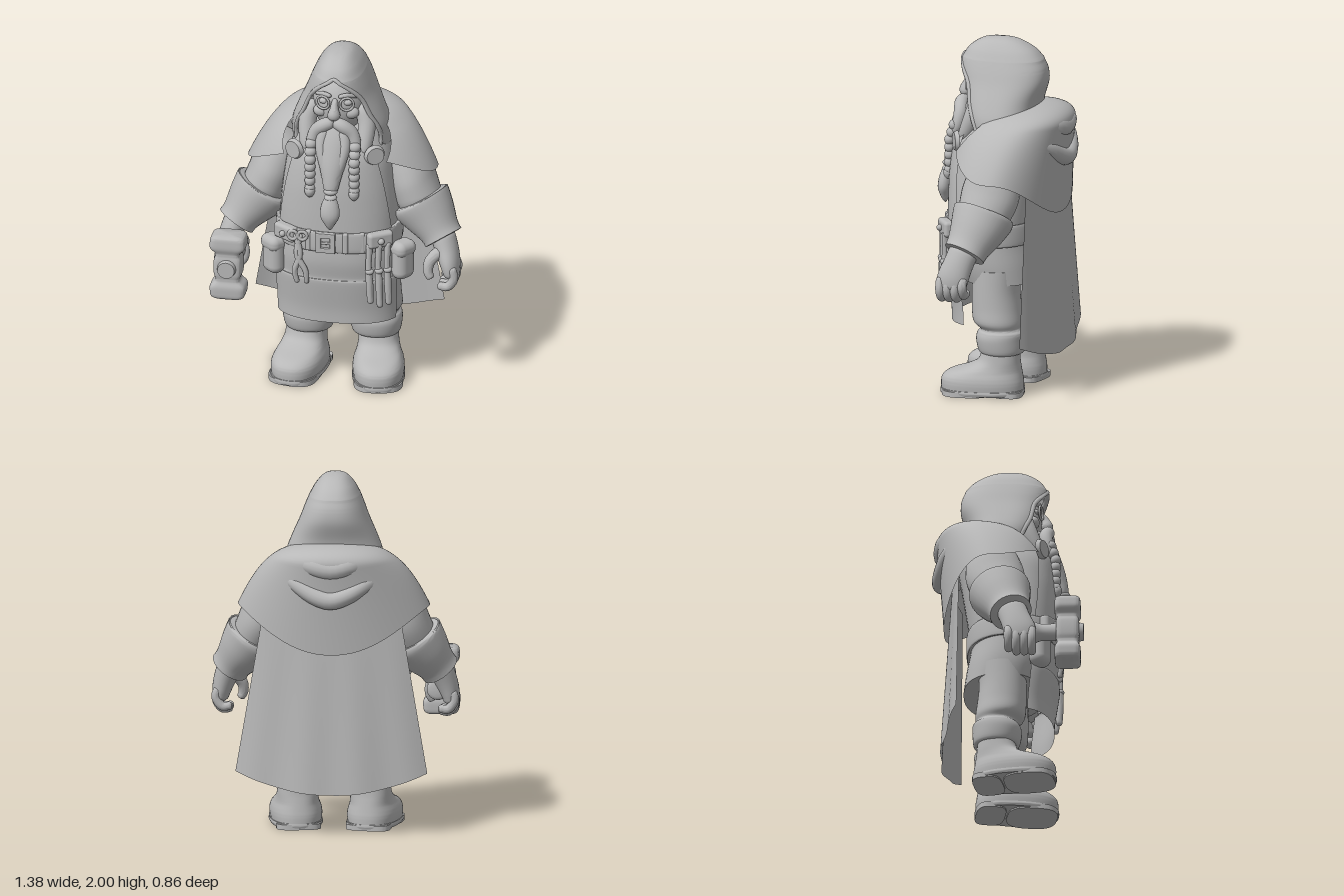
import * as THREE from 'three';
import { mergeVertices, toCreasedNormals } from 'three/addons/utils/BufferGeometryUtils.js';
import { RoundedBoxGeometry } from 'three/addons/geometries/RoundedBoxGeometry.js';

const stone = new THREE.MeshStandardMaterial({ color: 0xb8b8b8, side: THREE.DoubleSide });
stone.name = 'plain grey';
const V = (x, y, z) => new THREE.Vector3(x, y, z);
const { lerp, clamp } = THREE.MathUtils;

function add(parent, name, geometry, x = 0, y = 0, z = 0, ry = 0) {
  const mesh = new THREE.Mesh(geometry, stone);
  mesh.name = name;
  mesh.position.set(x, y, z);
  mesh.rotation.y = ry;
  parent.add(mesh);
  return mesh;
}

// Grid surface from a rule f(u, v) -> Vector3
function surf(parent, name, nu, nv, f) {
  const pos = [], idx = [];
  for (let j = 0; j <= nv; j++)
    for (let i = 0; i <= nu; i++) pos.push(...f(i / nu, j / nv, j).toArray());
  for (let j = 0; j < nv; j++)
    for (let i = 0; i < nu; i++) {
      const a = j * (nu + 1) + i, b = a + nu + 1;
      idx.push(a, a + 1, b + 1, a, b + 1, b);
    }
  const g = new THREE.BufferGeometry();
  g.setAttribute('position', new THREE.Float32BufferAttribute(pos, 3));
  g.setIndex(idx);
  return add(parent, name, toCreasedNormals(mergeVertices(g, 1e-5), 0.9));
}

// Smooth interpolation through rows of numbers
function interp(rows, t) {
  const n = rows.length - 1, s = clamp(t, 0, 1) * n, i = Math.min(Math.floor(s), n - 1), k = s - i;
  const r = (j) => rows[clamp(j, 0, n)];
  return rows[0].map((_, c) => {
    const [a, b, d, e] = [r(i - 1)[c], r(i)[c], r(i + 1)[c], r(i + 2)[c]];
    return b + 0.5 * k * (d - a + k * (2 * a - 5 * b + 4 * d - e + k * (3 * (b - d) + e - a)));
  });
}

const spow = (v, p) => Math.sign(v) * Math.abs(v) ** p;
// Point on a rounded ring; row = [y, half width, front z, back z, opening angle]
const ringPoint = ([y, rx, zf, zb], a, p) =>
  V(rx * spow(Math.sin(a), p), y, (zf + zb) / 2 + ((zf - zb) / 2) * spow(Math.cos(a), p));

// Stacked rings. mode: 'solid' (capped), 'back' (open in front), 'front' (front panel)
function loft(parent, name, rows, mode = 'solid', p = 0.85, nv = 32) {
  return surf(parent, name, 48, nv, (u, v, j) => {
    const row = interp(rows, mode === 'solid' ? clamp((j - 1) / (nv - 2), 0, 1) : v);
    if (mode === 'solid') {
      if (j === 0 || j === nv) row[1] = 0, row[2] = row[3] = (row[2] + row[3]) / 2;
      return ringPoint(row, u * Math.PI * 2, p);
    }
    const a0 = Math.max(0, row[4]);
    return ringPoint(row, mode === 'back' ? lerp(a0, 2 * Math.PI - a0, u) : lerp(-a0, a0, u), p);
  });
}

// Limb along points [x, y, z, radius along ref, other radius], rounded ends
function limb(parent, name, rows, round = 0.12, ref = V(0, 0, 1), nu = 16, nv = 26) {
  rows = rows.map((r) => (r.length < 5 ? [...r, r[3]] : r));
  const at = (t) => V(...interp(rows, t).slice(0, 3));
  return surf(parent, name, nu, nv, (u, s) => {
    const v = (1 - Math.cos(Math.PI * s)) / 2, row = interp(rows, v);
    const t = at(Math.min(1, v + 0.01)).sub(at(Math.max(0, v - 0.01))).normalize();
    const n1 = ref.clone().addScaledVector(t, -ref.dot(t)).normalize(), n2 = t.clone().cross(n1);
    const e = Math.min(1, Math.min(v, 1 - v) / round), k = Math.sqrt(Math.max(0, 1 - (1 - e) ** 2));
    const a = u * Math.PI * 2;
    return V(row[0], row[1], row[2])
      .addScaledVector(n1, k * row[3] * Math.cos(a)).addScaledVector(n2, k * row[4] * Math.sin(a));
  });
}

function ball(parent, name, x, y, z, rx, ry = rx, rz = rx) {
  return add(parent, name, new THREE.SphereGeometry(1, 24, 16).scale(rx, ry, rz), x, y, z);
}

function buildBody(g) {
  loft(g, 'tunic', [[0.64, 0.31, 0.19, -0.255], [0.75, 0.33, 0.24, -0.24], [0.9, 0.335, 0.265, -0.215],
    [1.05, 0.33, 0.265, -0.23], [1.25, 0.31, 0.26, -0.26], [1.4, 0.28, 0.24, -0.28], [1.55, 0.2, 0.15, -0.24]]);
  loft(g, 'apronSkirt', [[0.41, 0.35, 0.25, -0.2, 1.25], [0.5, 0.352, 0.255, -0.2, 1.25], [0.67, 0.36, 0.28, -0.2, 1.25],
    [0.69, 0.352, 0.27, -0.2, 1.25], [0.8, 0.352, 0.285, -0.22, 1.25], [0.95, 0.345, 0.28, -0.22, 1.25]], 'front');
  loft(g, 'apronBib', [[0.95, 0.345, 0.278, -0.22, 1.15], [1.1, 0.34, 0.277, -0.24, 1.05], [1.25, 0.322, 0.272, -0.26, 0.98],
    [1.4, 0.29, 0.253, -0.28, 0.9], [1.48, 0.25, 0.22, -0.26, 0.85]], 'front');
  loft(g, 'belt', [[0.865, 0.34, 0.28, -0.225], [0.872, 0.353, 0.296, -0.238], [0.975, 0.353, 0.296, -0.238], [0.982, 0.34, 0.28, -0.225]]);
  // Buckle and belt keepers
  const frame = new THREE.Shape().moveTo(-0.05, -0.055).lineTo(0.05, -0.055).lineTo(0.05, 0.055).lineTo(-0.05, 0.055).closePath();
  frame.holes.push(new THREE.Path().moveTo(-0.03, -0.035).lineTo(-0.03, 0.035).lineTo(0.03, 0.035).lineTo(0.03, -0.035).closePath());
  add(g, 'buckle', new THREE.ExtrudeGeometry(frame, { depth: 0.015, bevelSize: 0.005, bevelThickness: 0.005, bevelSegments: 2 }), -0.03, 0.925, 0.292);
  add(g, 'bucklePin', new RoundedBoxGeometry(0.07, 0.014, 0.014, 2, 0.005), -0.02, 0.925, 0.305);
  for (const x of [-0.13, 0.08, 0.17])
    add(g, 'beltKeeper', new RoundedBoxGeometry(0.03, 0.125, 0.03, 2, 0.01), x, 0.925, 0.295 - x * x * 1.2, x * 1.3);
}

function buildTools(g) {
  // Side pouches
  for (const [x, z, turn] of [[-0.345, 0.18, -0.7], [0.375, 0.125, 0.95]]) {
    const pouch = new THREE.Group();
    pouch.name = 'pouch';
    pouch.position.set(x, 0.775, z);
    pouch.rotation.y = turn;
    g.add(pouch);
    add(pouch, 'pouchBag', new RoundedBoxGeometry(0.13, 0.22, 0.1, 5, 0.048));
    add(pouch, 'pouchFlap', new RoundedBoxGeometry(0.135, 0.09, 0.11, 4, 0.04), 0, 0.075, 0.002);
  }
  for (const s of [-1, 1]) {
    add(g, 'toolHolder', new RoundedBoxGeometry(0.15, 0.09, 0.06, 3, 0.02), s * 0.265, 0.945, 0.235, s * 0.6);
    ball(g, 'holderStud', s * 0.28, 0.945, 0.268, 0.018);
  }
  // Hand tools hanging in front
  for (const [x, lo, z] of [[0.215, 0.56, 0.27], [0.265, 0.53, 0.25], [0.31, 0.54, 0.225]]) {
    limb(g, 'hangingTool', [[x, 0.93, z, 0.02], [x - 0.005, 0.8, z + 0.005, 0.017], [x, 0.68, z + 0.005, 0.021], [x + 0.005, lo, z, 0.018]], 0.06);
    ball(g, 'toolCollar', x, 0.76, z + 0.008, 0.025, 0.018, 0.022);
  }
  for (const s of [-1, 1]) {
    limb(g, 'pliersArm', [[-0.19 + s * 0.015, 0.96, 0.28, 0.016], [-0.185 - s * 0.008, 0.84, 0.293, 0.018],
      [-0.175 + s * 0.03, 0.74, 0.293, 0.016], [-0.165 + s * 0.025, 0.66, 0.285, 0.014]], 0.08);
    add(g, 'pliersLoop', new THREE.TorusGeometry(0.025, 0.01, 10, 20), -0.19 + s * 0.027, 0.955, 0.292);
  }
}

function buildLeg(g, s) {
  const leg = new THREE.Group();
  leg.name = s > 0 ? 'leftLeg' : 'rightLeg';
  leg.position.x = s * 0.19;
  g.add(leg);
  loft(leg, 'trouser', [[0.235, 0.115, 0.03, -0.17], [0.25, 0.135, 0.06, -0.195], [0.32, 0.147, 0.075, -0.2], [0.36, 0.142, 0.065, -0.2],
    [0.38, 0.13, 0.05, -0.18], [0.42, 0.15, 0.09, -0.185], [0.5, 0.145, 0.1, -0.175], [0.6, 0.142, 0.1, -0.165], [0.72, 0.14, 0.1, -0.17]], 'solid', 0.95, 40);
  const boot = new THREE.Group();
  boot.name = 'boot';
  boot.position.x = s * 0.025;
  boot.rotation.y = s * 0.17;
  leg.add(boot);
  loft(boot, 'bootUpper', [[0.02, 0.14, 0.265, -0.195], [0.07, 0.145, 0.268, -0.195], [0.105, 0.14, 0.258, -0.19], [0.135, 0.128, 0.215, -0.185],
    [0.165, 0.118, 0.12, -0.18], [0.2, 0.113, 0.06, -0.175], [0.27, 0.108, 0.035, -0.17]]);
  loft(boot, 'sole', [[0.008, 0.142, 0.27, -0.195], [0.02, 0.148, 0.272, -0.2], [0.035, 0.145, 0.27, -0.198]], 'solid', 0.8, 8);
  loft(boot, 'heel', [[0, 0.125, -0.03, -0.195], [0.03, 0.125, -0.03, -0.195]], 'solid', 0.6, 5);
  loft(boot, 'soleTread', [[0, 0.138, 0.262, -0.02], [0.03, 0.138, 0.262, -0.02]], 'solid', 0.7, 5);
}

function buildArm(g, s) {
  const arm = new THREE.Group();
  arm.name = s > 0 ? 'leftArm' : 'rightArm';
  g.add(arm);
  const part = (name, rows, round) => limb(arm, name, rows.map(([x, ...r]) => [s * x, ...r]), round, V(0, 0, 1), 28);
  part('sleeve', [[0.31, 1.4, -0.09, 0.11, 0.1], [0.365, 1.28, -0.08, 0.15, 0.13], [0.405, 1.17, -0.065, 0.165, 0.13], [0.46, 1.04, -0.03, 0.14, 0.125]]);
  part('gauntlet', [[0.437, 1.085, -0.045, 0.165, 0.16], [0.45, 1.065, -0.04, 0.175, 0.172], [0.5, 1.0, -0.02, 0.155, 0.15],
    [0.56, 0.92, 0.01, 0.125, 0.115], [0.588, 0.88, 0.025, 0.12, 0.112]], 0.03);
  part('palm', [[0.575, 0.92, 0.02, 0.085, 0.07], [0.61, 0.83, 0.05, 0.085, 0.065], [0.635, 0.75, 0.075, 0.09, 0.055], [0.645, 0.68, 0.08, 0.08, 0.04]], 0.15);
  for (let i = 0; i < 4; i++) {
    const z = 0.012 + i * 0.043, d = i === 0 ? 0.02 : 0;
    part('finger', [[0.65, 0.76, z, 0.025], [0.665, 0.69 + d, z, 0.026], [0.63, 0.638 + d, z, 0.025], [0.575, 0.645 + d, z, 0.022]]);
  }
  part('thumb', [[0.59, 0.84, 0.09, 0.036], [0.53, 0.78, 0.12, 0.032], [0.52, 0.72, 0.135, 0.027], [0.54, 0.68, 0.14, 0.022]]);
}

function buildHammer(g) {
  const hammer = new THREE.Group();
  hammer.name = 'hammer';
  hammer.position.set(-0.57, 0.765, 0);
  g.add(hammer);
  // Head flares at both ends and narrows beside the middle
  const half = [[-0.19, 0.075, 0.06], [-0.178, 0.094, 0.07], [-0.15, 0.1, 0.073], [-0.115, 0.098, 0.072], [-0.08, 0.068, 0.06], [-0.045, 0.077, 0.065]];
  const rows = [...half, [0, 0.08, 0.066], ...half.map(([y, ...r]) => [-y, ...r]).reverse()];
  loft(hammer, 'hammerHead', rows.map(([y, x, d]) => [y, x, 0.34 + d, 0.34 - d]), 'solid', 0.35, 50);
  add(hammer, 'hammerCap', new THREE.CylinderGeometry(0.048, 0.056, 0.04, 28).rotateX(Math.PI / 2), 0, 0, 0.41);
  limb(hammer, 'hammerHandle', [[0, 0, 0.02, 0.06], [0, 0, 0.14, 0.062], [0, 0, 0.2, 0.047], [0, 0, 0.3, 0.052]], 0.05, V(0, 1, 0), 24);
}

function buildHead(g) {
  const hood = [[1.42, 0.275, 0.14, -0.25, 0.95], [1.5, 0.277, 0.15, -0.24, 1.0], [1.57, 0.267, 0.17, -0.225, 0.96], [1.65, 0.237, 0.19, -0.235, 0.86],
    [1.75, 0.193, 0.21, -0.268, 0.8], [1.82, 0.166, 0.22, -0.268, 0.55], [1.87, 0.145, 0.218, -0.25, 0.18], [1.89, 0.135, 0.21, -0.24, 0],
    [1.94, 0.105, 0.175, -0.19, 0], [1.985, 0.06, 0.1, -0.1, 0], [2, 0, 0, 0, 0]];
  loft(g, 'hood', hood, 'back', 0.82, 60);
  const edge = hood.slice(0, 8).map((r) => ringPoint(r, r[4], 0.82));
  const rim = [...edge, ...edge.slice(0, -1).reverse().map((q) => V(-q.x, q.y, q.z))];
  limb(g, 'hoodRim', rim.map((q) => [q.x, q.y, q.z - 0.008, 0.016, 0.012]), 0.02, V(0, 0, 1), 10, 70);
  ball(g, 'face', 0, 1.69, 0.02, 0.15, 0.19, 0.165);
  limb(g, 'nose', [[0, 1.76, 0.17, 0.02, 0.016], [0, 1.71, 0.195, 0.03, 0.024], [0, 1.675, 0.205, 0.038, 0.036], [0, 1.645, 0.2, 0.025, 0.03]], 0.2);
  for (const s of [-1, 1]) {
    // Eyewear, brows, moustache and braids
    add(g, 'spectacleRim', new THREE.TorusGeometry(0.038, 0.007, 10, 28), s * 0.068, 1.733, 0.178, s * 0.25);
    ball(g, 'eye', s * 0.066, 1.733, 0.152, 0.028, 0.018, 0.02);
    ball(g, 'cheek', s * 0.085, 1.665, 0.135, 0.045, 0.035, 0.035);
    limb(g, 'brow', [[s * 0.02, 1.772, 0.175, 0.012], [s * 0.07, 1.782, 0.165, 0.013], [s * 0.12, 1.76, 0.125, 0.01]], 0.2);
    limb(g, 'moustache', [[0, 1.63, 0.205, 0.03], [s * 0.05, 1.615, 0.215, 0.038], [s * 0.1, 1.57, 0.205, 0.038], [s * 0.125, 1.5, 0.215, 0.032], [s * 0.125, 1.44, 0.24, 0.02]], 0.12);
    limb(g, 'sideWhisker', [[s * 0.13, 1.7, 0.08, 0.04], [s * 0.165, 1.6, 0.1, 0.05], [s * 0.165, 1.5, 0.14, 0.045], [s * 0.155, 1.42, 0.18, 0.03]], 0.2);
    for (let i = 0; i < 7; i++)
      ball(g, 'braidBead', s * 0.125, 1.5 - i * 0.043, 0.235 + Math.min(i, 2) * 0.013, 0.033 - 0.0006 * i, 0.031, 0.03);
    limb(g, 'braidEnd', [[s * 0.125, 1.25, 0.265, 0.02], [s * 0.125, 1.225, 0.267, 0.03], [s * 0.125, 1.185, 0.265, 0.016]], 0.3);
    limb(g, 'beardLock', [[s * 0.05, 1.59, 0.2, 0.04], [s * 0.065, 1.5, 0.235, 0.035], [s * 0.045, 1.4, 0.265, 0.03], [s * 0.015, 1.3, 0.29, 0.02]], 0.15);
  }
  limb(g, 'beard', [[0, 1.62, 0.15, 0.06, 0.11], [0, 1.52, 0.2, 0.065, 0.105], [0, 1.41, 0.25, 0.055, 0.08], [0, 1.32, 0.28, 0.045, 0.055], [0, 1.23, 0.305, 0.03, 0.035]], 0.12, V(0, 0, 1), 24);
  ball(g, 'beardTie', 0, 1.25, 0.305, 0.04, 0.022, 0.036);
  ball(g, 'beardTie', 0, 1.215, 0.312, 0.036, 0.018, 0.034);
  limb(g, 'beardTip', [[0, 1.23, 0.31, 0.025], [0, 1.17, 0.322, 0.036, 0.05], [0, 1.11, 0.33, 0.038, 0.055], [0, 1.06, 0.33, 0.024, 0.03], [0, 1.02, 0.325, 0.006]], 0.1);
}

function buildCloak(g) {
  // Shoulder mantle, open in front and pointed behind
  surf(g, 'mantle', 72, 32, (u, s) => {
    const a0 = lerp(1.15, 0.55, s), a = lerp(a0, 2 * Math.PI - a0, u), c = Math.cos(a);
    const hem = c > 0 ? 1.268 + 0.17 * c * c : 1.268 - 0.24 * Math.abs(c) ** 2.6;
    const zb = s < 0.4 ? lerp(-0.23, -0.41, Math.sin((s / 0.4) * Math.PI / 2)) : lerp(-0.41, -0.365, (s - 0.4) / 0.6);
    const q = ringPoint([0, lerp(0.24, 0.535, s), lerp(0.12, 0.21, s), zb], a, 0.95);
    q.y = lerp(1.59 - 0.045 * c, hem, s * s);
    return q;
  });
  // Draped folds behind the neck
  const drape = (name, half) => limb(g, name, [...half, ...half.slice(0, -1).reverse().map(([x, ...r]) => [-x, ...r])], 0.1, V(0, 1, 0), 16, 48);
  drape('upperFold', [[0.27, 1.48, -0.02, 0.02], [0.27, 1.54, -0.13, 0.03], [0.22, 1.56, -0.245, 0.045], [0.12, 1.535, -0.345, 0.053], [0, 1.51, -0.367, 0.055]]);
  drape('lowerFold', [[0.34, 1.47, -0.12, 0.02], [0.3, 1.48, -0.23, 0.036], [0.2, 1.43, -0.325, 0.044], [0.1, 1.37, -0.368, 0.048], [0, 1.34, -0.382, 0.05]]);
  // Long cape
  surf(g, 'cape', 60, 20, (u, v) => {
    const k = 1 - 2 * u, x = k * lerp(0.37, 0.535, v), low = 0.235 + 0.115 * k * k;
    const wave = 0.007 * v * Math.cos(k * 11);
    return V(x, lerp(1.32, low, v), lerp(-0.315, -0.382, v) + lerp(0.045, 0.1, v) * k * k + wave);
  });
  for (const s of [-1, 1])
    add(g, 'brooch', new THREE.CylinderGeometry(0.05, 0.06, 0.024, 24).rotateX(Math.PI / 2), s * 0.23, 1.435, 0.19, s * 0.5);
}

export function createModel() {
  const model = new THREE.Group();
  model.name = 'hoodedSmith';
  buildBody(model);
  buildTools(model);
  for (const s of [-1, 1]) {
    buildLeg(model, s);
    buildArm(model, s);
  }
  buildHammer(model);
  buildHead(model);
  buildCloak(model);
  return model;
}
